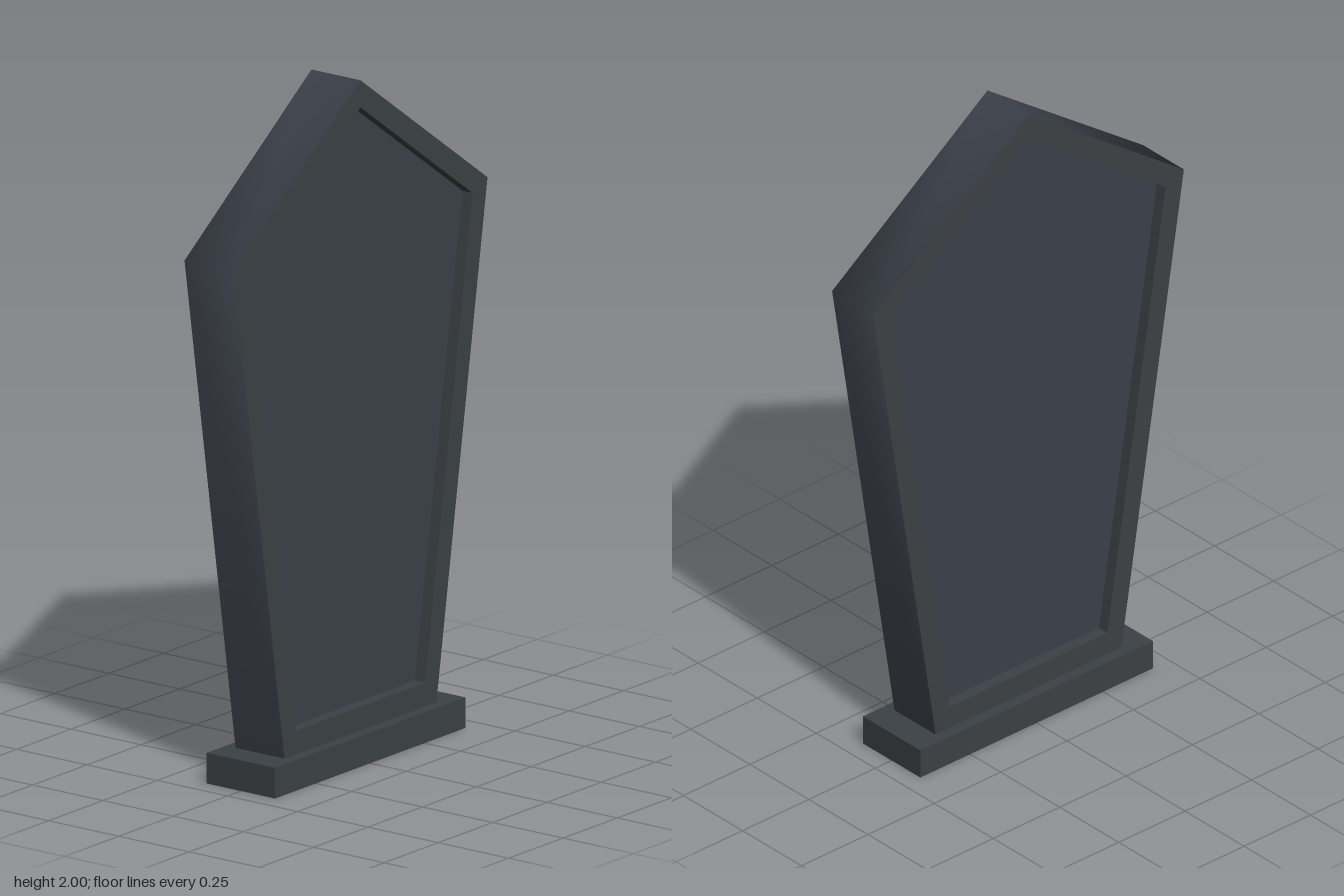
import * as THREE from 'three';

const HALF = 0.087;    // half thickness of the slab
const RECESS = 0.036;  // depth of the sunken panels

// Outlines run from the lower right corner over the peak to the lower left
const mirrored = (bottom, shoulder, peak) => [
  bottom, shoulder, [0, peak],
  [-shoulder[0], shoulder[1]], [-bottom[0], bottom[1]],
];
const OUTER = mirrored([0.35, 0.09], [0.585, 1.577], 2);
const INNER = mirrored([0.297, 0.16], [0.516, 1.547], 1.92);

const toVectors = (outline) => outline.map(([x, y]) => new THREE.Vector2(x, y));

// Band swept along an outline between two depths, with shared (smooth) normals
function band(outline, zFront, zBack) {
  const positions = [];
  const index = [];
  outline.forEach(([x, y], i) => {
    positions.push(x, y, zFront, x, y, zBack);
    if (i < outline.length - 1) {
      const a = i * 2;
      index.push(a, a + 1, a + 2, a + 1, a + 3, a + 2);
    }
  });
  const geometry = new THREE.BufferGeometry();
  geometry.setAttribute('position', new THREE.Float32BufferAttribute(positions, 3));
  geometry.setIndex(index);
  geometry.computeVertexNormals();
  return geometry;
}

export function createModel() {
  const stone = new THREE.MeshStandardMaterial({ color: 0x3c4145, side: THREE.DoubleSide });
  stone.name = 'darkStone';
  const slate = new THREE.MeshStandardMaterial({ color: 0x3b4049, side: THREE.DoubleSide });
  slate.name = 'blueSlate';

  const model = new THREE.Group();
  model.name = 'headstone';
  const add = (parent, name, geometry, material) => {
    const mesh = new THREE.Mesh(geometry, material);
    mesh.name = name;
    parent.add(mesh);
    return mesh;
  };

  // Hollow plinth: a box without its underside
  const plinth = new THREE.BoxGeometry(0.876, 0.09, 0.243);
  const faces = Array.from(plinth.index.array);
  faces.splice(18, 6);
  plinth.setIndex(faces);
  plinth.clearGroups();
  add(model, 'plinth', plinth, stone).position.y = 0.045;

  // Softly shaded outer edge of the slab
  add(model, 'slabEdge', band(OUTER, HALF, -HALF), slate);

  // Border, recess walls and sunken panel on both sides
  for (const side of ['front', 'back']) {
    const face = new THREE.Group();
    face.name = side + 'Face';
    if (side === 'back') face.rotation.y = Math.PI;
    model.add(face);

    const border = new THREE.Shape(toVectors(OUTER));
    border.holes.push(new THREE.Path(toVectors(INNER)));
    add(face, side + 'Border', new THREE.ShapeGeometry(border), stone).position.z = HALF;

    // Listed in reverse so the walls face inward, one flat wall per edge
    const loop = [...INNER, INNER[0]].reverse();
    const walls = band(loop, HALF, HALF - RECESS).toNonIndexed();
    walls.computeVertexNormals();
    add(face, side + 'RecessWalls', walls, stone);

    const panel = new THREE.ShapeGeometry(new THREE.Shape(toVectors(INNER)));
    add(face, side + 'Panel', panel, slate).position.z = HALF - RECESS;
  }
  return model;
}
